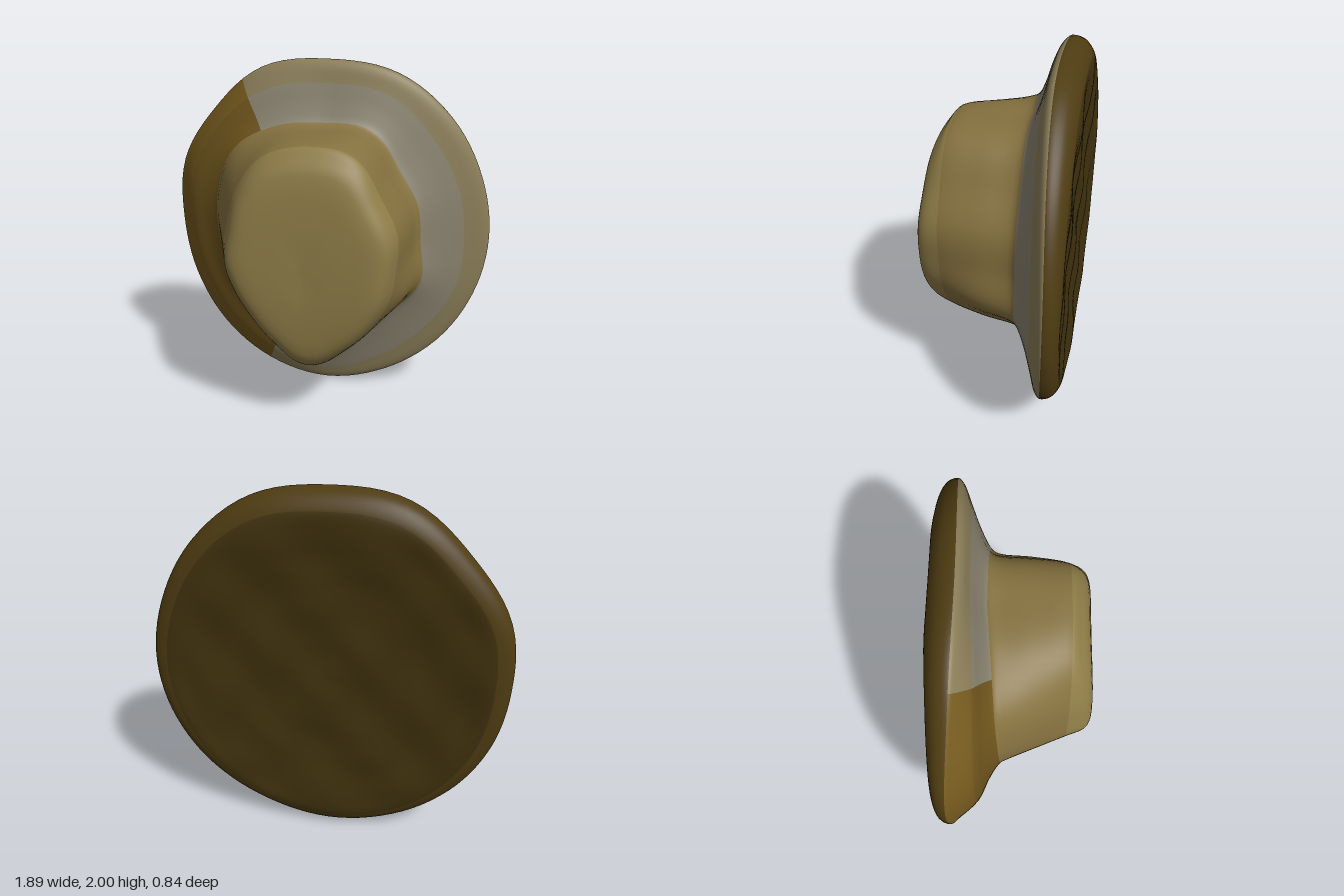
import * as THREE from 'three';

// Outline radii every 22.5 degrees, counter-clockwise from +x, around (0, 1)
const FACE = [0.46, 0.50, 0.53, 0.62, 0.62, 0.60, 0.52, 0.46, 0.45, 0.43, 0.44, 0.50, 0.60, 0.53, 0.48, 0.46];
const BASE = [0.54, 0.56, 0.58, 0.67, 0.65, 0.68, 0.71, 0.65, 0.60, 0.59, 0.60, 0.65, 0.73, 0.63, 0.58, 0.60];
const EDGE = [0.945, 0.95, 0.98, 1.01, 1.0, 1.025, 0.985, 0.985, 0.947, 0.95, 0.97, 0.99, 1.0, 0.98, 0.965, 0.95];

// Section from crown centre to underside centre:
// [outline A, outline B, blend, scale, z, share of the brim's warp]
const SECTION = [
  [FACE, FACE, 0, 0, 0.41, 0],
  [FACE, FACE, 0, 0.45, 0.418, 0],
  [FACE, FACE, 0, 0.82, 0.412, 0],
  [FACE, FACE, 0, 0.94, 0.38, 0],
  [FACE, BASE, 0.1, 1.01, 0.275, 0],
  [FACE, BASE, 0.63, 1.01, 0.08, 0],
  [BASE, BASE, 0, 1, -0.1, 0],
  [BASE, EDGE, 0.06, 1, -0.14, 0],
  [BASE, EDGE, 0.3, 1, -0.187, 0.3],
  [BASE, EDGE, 0.65, 1, -0.235, 0.7],
  [BASE, EDGE, 0.93, 1, -0.275, 1],
  [EDGE, EDGE, 0, 1, -0.305, 1],
  [EDGE, EDGE, 0, 0.98, -0.365, 0.6],
  [EDGE, EDGE, 0, 0.91, -0.405, 0.2],
  [EDGE, EDGE, 0, 0.8, -0.405, 0],
  [EDGE, EDGE, 0, 0.67, -0.395, 0],
  [EDGE, EDGE, 0, 0.54, -0.388, 0],
  [EDGE, EDGE, 0, 0.4, -0.385, 0],
  [EDGE, EDGE, 0, 0.25, -0.385, 0],
  [EDGE, EDGE, 0, 0.12, -0.385, 0],
  [EDGE, EDGE, 0, 0, -0.385, 0],
];
const COLS = 96, STEPS = 5;

// Smooth periodic interpolation of an outline
function radius(outline, angle) {
  const n = outline.length, f = (angle / (Math.PI * 2)) * n, i = Math.floor(f), t = f - i;
  const [a, b, c, d] = [-1, 0, 1, 2].map(k => outline[(i + k + n) % n]);
  return b + 0.5 * t * (c - a + t * (2 * a - 5 * b + 4 * c - d + t * (3 * (b - c) + d - a)));
}

function sectionPoint(row, angle) {
  const [a, b, blend, scale, z, warp] = SECTION[row];
  const right = Math.max(0, -Math.cos(angle));
  const r = THREE.MathUtils.lerp(radius(a, angle), radius(b, angle), blend) * scale;
  const x = r * Math.cos(angle), y = r * Math.sin(angle);
  let dz = -0.035 * Math.cos(2 * angle) * warp;
  // crown top sags at its upper and lower ends
  if (row < 4) dz -= 0.13 * y * y + 0.03 * y;
  // soft fold where the crown meets the brim on its right side
  if (row > 5 && row < 10) dz += 0.06 * right;
  // lumpy underside
  if (row > 13) dz += 0.012 * Math.sin(12 * x + 1) * Math.sin(11 * y);
  return new THREE.Vector3(x, 1 + y, z + dz);
}

export function createModel() {
  const hat = new THREE.Group();
  hat.name = 'hat';

  // One smooth skin; every part shares its vertices and normals
  const positions = [], rows = (SECTION.length - 1) * STEPS;
  for (let c = 0; c < COLS; c++) {
    const angle = (c / COLS) * Math.PI * 2;
    const curve = new THREE.CatmullRomCurve3(SECTION.map((_, row) => sectionPoint(row, angle)));
    for (let r = 0; r <= rows; r++) positions.push(...curve.getPoint(r / rows).toArray());
  }
  const facesBetween = (from, to, startCol = 0, endCol = COLS) => {
    const index = [];
    for (let c = startCol; c < endCol; c++) {
      const p = c * (rows + 1), q = ((c + 1) % COLS) * (rows + 1);
      for (let r = from * STEPS; r < to * STEPS; r++) {
        if (r > 0) index.push(p + r, p + r + 1, q + r);
        if (r < rows - 1) index.push(q + r, p + r + 1, q + r + 1);
      }
    }
    return index;
  };
  const skin = new THREE.BufferGeometry();
  skin.setAttribute('position', new THREE.Float32BufferAttribute(positions, 3));
  skin.setIndex(facesBetween(0, SECTION.length - 1));
  skin.computeVertexNormals();

  // Both pole normals point straight out
  for (let c = 0; c < COLS; c++) {
    skin.attributes.normal.setXYZ(c * (rows + 1), 0, 0, 1);
    skin.attributes.normal.setXYZ(c * (rows + 1) + rows, 0, 0, -1);
  }

  const addPart = (name, color, ...range) => {
    const geometry = new THREE.BufferGeometry();
    geometry.setAttribute('position', skin.attributes.position);
    geometry.setAttribute('normal', skin.attributes.normal);
    geometry.setIndex(facesBetween(...range));
    const mesh = new THREE.Mesh(geometry, new THREE.MeshStandardMaterial({ color }));
    mesh.name = name;
    hat.add(mesh);
  };
  addPart('crownTop', 0x8f7d48, 0, 4);
  addPart('crownSide', 0x85713f, 4, 7);
  addPart('innerBrimLeft', 0x89826f, 7, 9, 0, 32);
  addPart('innerBrimRight', 0x6e541c, 7, 9, 32, 66);
  addPart('innerBrimBottom', 0x89826f, 7, 9, 66, COLS);
  addPart('outerBrimLeft', 0x8a7d58, 9, 11, 0, 32);
  addPart('outerBrimRight', 0x74591e, 9, 11, 32, 66);
  addPart('outerBrimBottom', 0x8a7d58, 9, 11, 66, COLS);
  addPart('brimRim', 0x4e3c12, 11, 13);
  addPart('underside', 0x40320e, 13, SECTION.length - 1);
  return hat;
}
